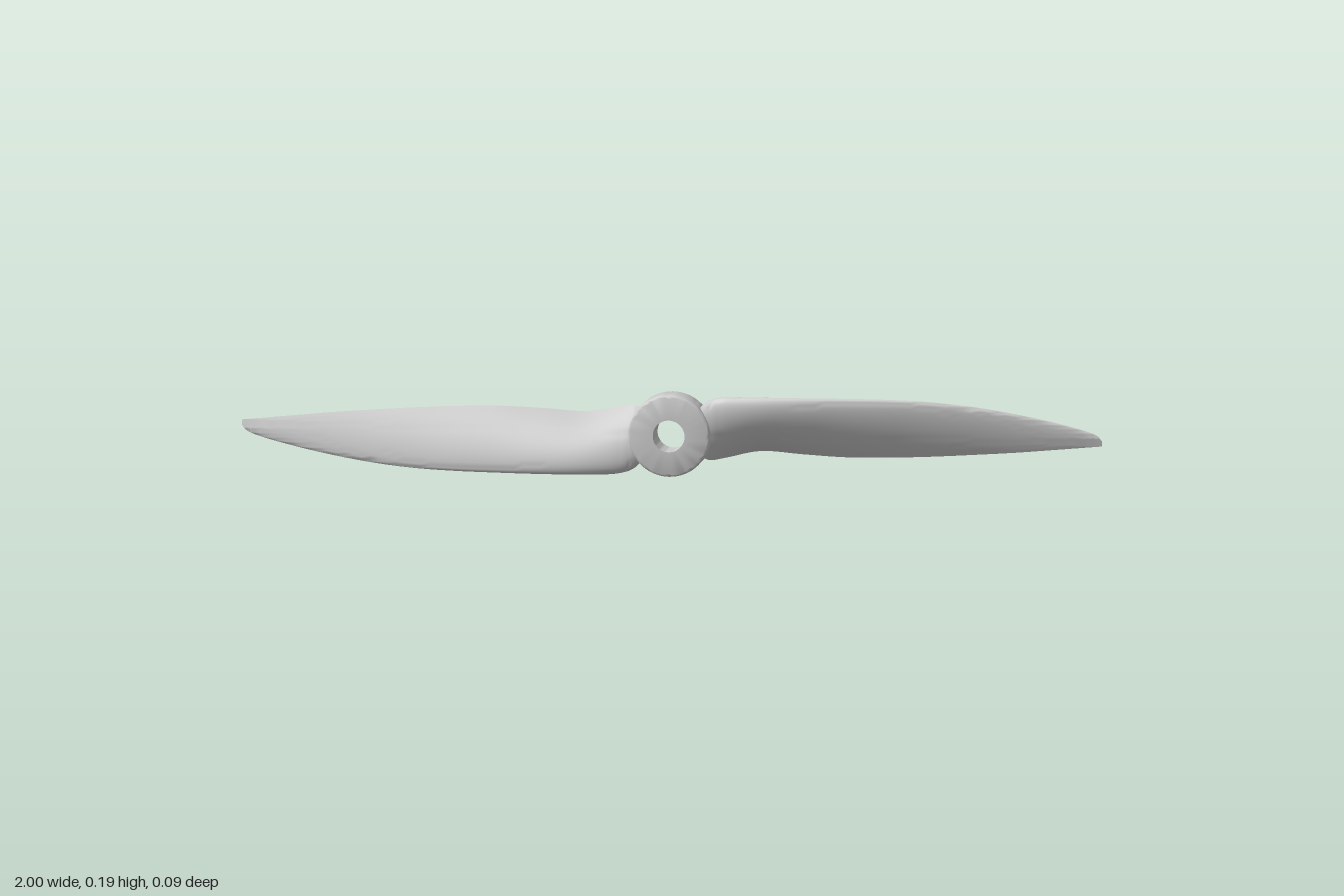
import * as THREE from 'three';
import { toCreasedNormals } from 'three/addons/utils/BufferGeometryUtils.js';

const material = new THREE.MeshStandardMaterial({ color: 0xcccccc });
const AXIS_Y = 0.097;

// Blade stations, relative to the hub axis:
// x, leading edge y and z, trailing edge y and z, thickness
const STATIONS = [
  [0.065, 0.060, 0.006, -0.050, -0.016, 0.030],
  [0.085, 0.080, 0.013, -0.062, -0.024, 0.036],
  [0.12, 0.091, 0.020, -0.058, -0.034, 0.042],
  [0.20, 0.094, 0.030, -0.042, -0.047, 0.044],
  [0.30, 0.095, 0.030, -0.047, -0.045, 0.036],
  [0.40, 0.095, 0.024, -0.051, -0.040, 0.029],
  [0.50, 0.094, 0.018, -0.049, -0.036, 0.024],
  [0.60, 0.090, 0.011, -0.044, -0.032, 0.019],
  [0.70, 0.080, 0.004, -0.037, -0.029, 0.015],
  [0.80, 0.064, -0.003, -0.029, -0.025, 0.011],
  [0.90, 0.043, -0.010, -0.019, -0.021, 0.008],
  [0.97, 0.024, -0.014, -0.012, -0.019, 0.005],
  [0.99, 0.015, -0.016, -0.010, -0.018, 0.004],
  [1.00, 0.003, -0.017, -0.009, -0.018, 0.003],
];

// Twisted aerofoil lofted from root to tip
function bladeGeometry() {
  const curve = (pick) => new THREE.CatmullRomCurve3(STATIONS.map((s) => new THREE.Vector3(...pick(s))));
  const leading = curve((s) => [s[0], s[1], s[2]]);
  const trailing = curve((s) => [s[0], s[3], s[4]]);
  const thickness = curve((s) => [s[0], s[5], 0]);
  const rows = (STATIONS.length - 1) * 5;
  const half = 18;
  const ring = half * 2;
  const positions = [];
  const index = [];

  for (let i = 0; i <= rows; i++) {
    const a = leading.getPoint(i / rows);
    const b = trailing.getPoint(i / rows);
    const t = thickness.getPoint(i / rows).y;
    const chord = b.clone().sub(a);
    const normal = new THREE.Vector3(0, chord.z, -chord.y).normalize();
    for (let j = 0; j < ring; j++) {
      // over the domed front face to the trailing edge, back along the flat face
      const front = j <= half;
      const k = (front ? j : ring - j) / half;
      const u = (1 - Math.cos(Math.PI * k)) / 2;
      const dome = 2.0 * Math.sqrt(u) * (1 - u) * (1 + 0.5 * u);
      const offset = front ? 0.75 * t * dome : -0.2 * t * Math.sqrt(u) * (1 - u) * (1 - u) * 2.5;
      const p = a.clone().addScaledVector(chord, u).addScaledVector(normal, offset);
      positions.push(p.x, p.y, p.z);
    }
  }
  for (let i = 0; i < rows; i++) {
    for (let j = 0; j < ring; j++) {
      const a = i * ring + j;
      const b = i * ring + ((j + 1) % ring);
      index.push(a, b, a + ring, b, b + ring, a + ring);
    }
  }
  // root and tip caps
  const last = rows * ring;
  for (let j = 1; j < ring - 1; j++) {
    index.push(0, j + 1, j, last, last + j, last + j + 1);
  }
  const geometry = new THREE.BufferGeometry();
  geometry.setAttribute('position', new THREE.Float32BufferAttribute(positions, 3));
  geometry.setIndex(index);
  return toCreasedNormals(geometry, 0.9);
}

// Bored hub with softened rims
function hubGeometry() {
  const bore = 0.037, radius = 0.095, back = -0.04, front = 0.036, r = 0.008;
  const profile = [new THREE.Vector2(bore, back)];
  for (let i = 0; i <= 4; i++) {
    const a = (i / 4) * Math.PI / 2;
    profile.push(new THREE.Vector2(radius - r + r * Math.sin(a), back + r - r * Math.cos(a)));
  }
  for (let i = 0; i <= 4; i++) {
    const a = (i / 4) * Math.PI / 2;
    profile.push(new THREE.Vector2(radius - r + r * Math.cos(a), front - r + r * Math.sin(a)));
  }
  profile.push(new THREE.Vector2(bore, front), new THREE.Vector2(bore, back));
  return toCreasedNormals(new THREE.LatheGeometry(profile, 64).rotateX(Math.PI / 2), 0.7);
}

export function createModel() {
  const propeller = new THREE.Group();
  propeller.name = 'propeller';

  const hub = new THREE.Mesh(hubGeometry(), material);
  hub.name = 'hub';
  hub.position.y = AXIS_Y;
  propeller.add(hub);

  // Two identical blades, half a turn apart
  const geometry = bladeGeometry();
  ['leftBlade', 'rightBlade'].forEach((name, i) => {
    const blade = new THREE.Mesh(geometry, material);
    blade.name = name;
    blade.position.y = AXIS_Y;
    blade.rotation.z = i * Math.PI;
    propeller.add(blade);
  });
  return propeller;
}
